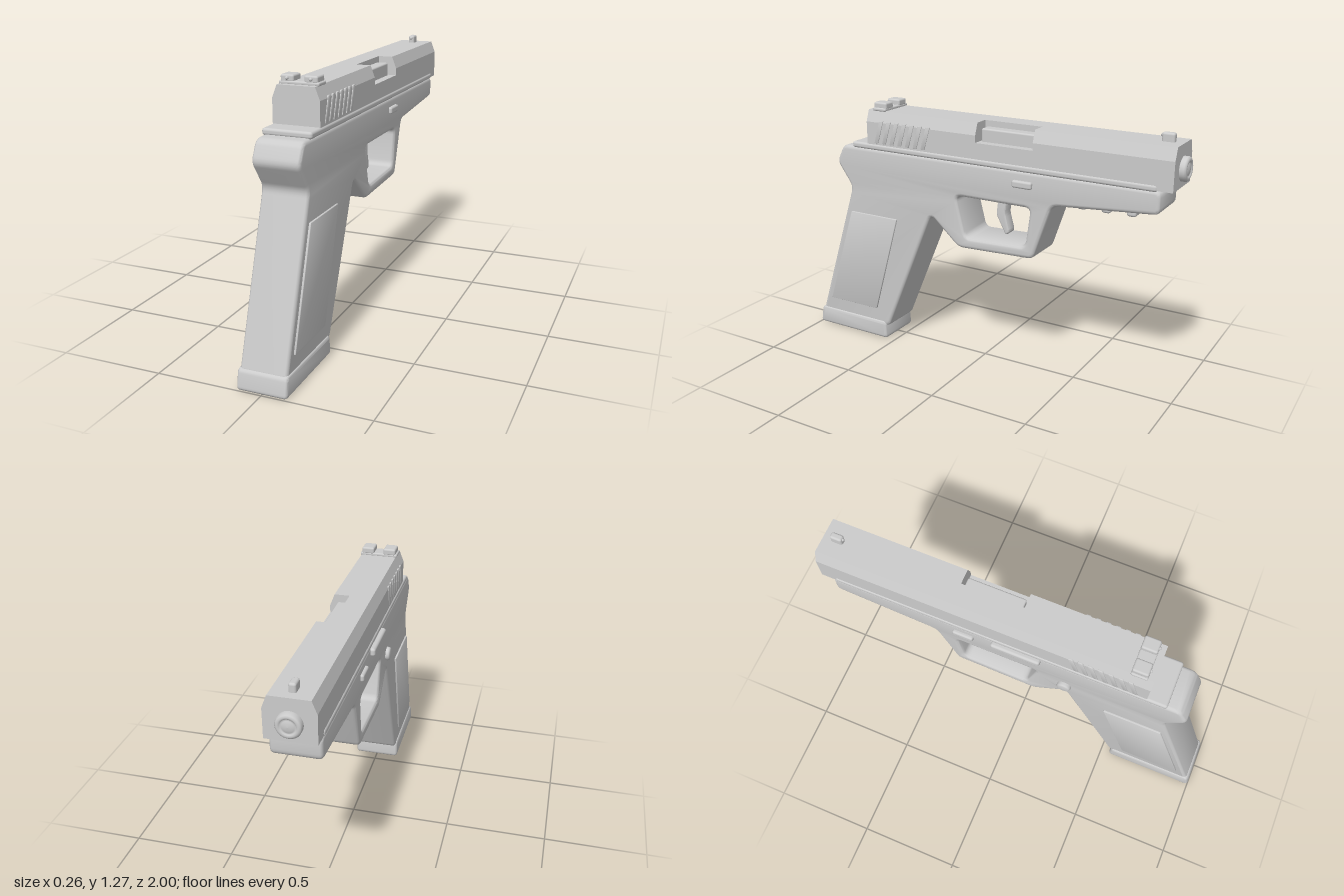
import * as THREE from 'three';
import { toCreasedNormals } from 'three/addons/utils/BufferGeometryUtils.js';
import { RoundedBoxGeometry } from 'three/addons/geometries/RoundedBoxGeometry.js';

// Closed path through the points with softened corners
function softPath(path, pts, r) {
  const n = pts.length;
  pts.forEach((p, i) => {
    const c = new THREE.Vector2(...p);
    const a = new THREE.Vector2(...pts[(i + n - 1) % n]).sub(c);
    const b = new THREE.Vector2(...pts[(i + 1) % n]).sub(c);
    const s = a.setLength(Math.min(r, a.length() * 0.45)).add(c);
    const e = b.setLength(Math.min(r, b.length() * 0.45)).add(c);
    if (i === 0) path.moveTo(s.x, s.y); else path.lineTo(s.x, s.y);
    if (r > 0) path.quadraticCurveTo(c.x, c.y, e.x, e.y);
  });
  path.closePath();
  return path;
}

// Side outline given as [z, y], extruded across the width from x0 to x1
function sideExtrude(pts, x0, x1, r, bevel, hole) {
  const flip = (list) => list.map(([z, y]) => [-z, y]);
  const shape = softPath(new THREE.Shape(), flip(pts), r);
  if (hole) shape.holes.push(softPath(new THREE.Path(), flip(hole), r));
  const g = new THREE.ExtrudeGeometry(shape, {
    depth: x1 - x0 - 2 * bevel, curveSegments: 5, bevelEnabled: bevel > 0,
    bevelThickness: bevel, bevelSize: bevel, bevelOffset: -bevel, bevelSegments: 4,
  });
  g.rotateY(Math.PI / 2).translate(x0 + bevel, 0, 0);
  return toCreasedNormals(g, 0.6);
}

// Cross-section given as [x, y], extruded along the length from z0 to z1
function lengthExtrude(pts, z0, z1) {
  const shape = softPath(new THREE.Shape(), pts, 0);
  return new THREE.ExtrudeGeometry(shape, { depth: z1 - z0, bevelEnabled: false }).translate(0, 0, z0);
}

// Rounded block between two corners
function block(x0, x1, y0, y1, z0, z1, r) {
  return new RoundedBoxGeometry(x1 - x0, y1 - y0, z1 - z0, 3, r)
    .translate((x0 + x1) / 2, (y0 + y1) / 2, (z0 + z1) / 2);
}

export function createModel() {
  const model = new THREE.Group();
  const grey = new THREE.MeshStandardMaterial({ color: 0xcccccc });
  grey.name = 'light grey';
  const add = (name, geometry) => {
    const mesh = new THREE.Mesh(geometry, grey);
    mesh.name = name;
    model.add(mesh);
    return mesh;
  };

  // Frame with grip and open trigger guard
  add('frame', sideExtrude([
    [0.78, 1.038], [0.828, 0.945], [0.738, 0.82], [0.985, 0.07], [0.535, 0.07], [0.25, 0.742],
    [0.094, 0.603], [-0.318, 0.618], [-0.41, 0.893], [-0.918, 0.932], [-0.918, 1.038],
  ], -0.11, 0.11, 0.03, 0.018, [
    [0.102, 0.865], [0.05, 0.662], [-0.275, 0.674], [-0.3, 0.865],
  ]));
  add('basePlate', sideExtrude([
    [0.985, 0.098], [1.002, 0], [0.543, 0], [0.55, 0.098],
  ], -0.118, 0.118, 0.022, 0.016));
  add('trigger', sideExtrude([
    [-0.09, 0.88], [-0.137, 0.88], [-0.127, 0.79], [-0.152, 0.7], [-0.13, 0.682], [-0.077, 0.78],
  ], -0.03, 0.03, 0.015, 0.008));
  add('rail', block(-0.115, 0.115, 1.033, 1.064, -0.9, 0.715, 0.012));

  // Slide in three lengths, the middle one cut away on one side
  const full = [[-0.11, 1.04], [0.11, 1.04], [0.11, 1.175], [0.088, 1.232], [-0.088, 1.232], [-0.11, 1.175]];
  const cut = [[-0.11, 1.04], [0.11, 1.04], [0.11, 1.14], [0.017, 1.14], [0.017, 1.232], [-0.088, 1.232], [-0.11, 1.175]];
  add('slideRear', lengthExtrude(full, -0.01, 0.62));
  add('slidePort', lengthExtrude(cut, -0.31, -0.01));
  add('slideFront', lengthExtrude(full, -0.97, -0.31));
  add('chamberBlock', block(0.01, 0.07, 1.13, 1.203, -0.3, -0.02, 0.008));

  // Muzzle disc with a shallow ring
  const muzzle = [[0.055, 0], [0.055, 0.02], [0.05, 0.027], [0.042, 0.03], [0.034, 0.028], [0.032, 0.023],
    [0.026, 0.026], [0.014, 0.029], [0, 0.03]].map(([x, y]) => new THREE.Vector2(x, y));
  const muzzleGeometry = new THREE.LatheGeometry(muzzle, 32).rotateX(-Math.PI / 2).translate(0, 1.122, -0.97);
  add('muzzle', muzzleGeometry);

  // Slanted grip bars and grip panels on both sides
  for (const side of [-1, 1]) {
    const span = (a, b) => (side > 0 ? [a, b] : [-b, -a]);
    for (let i = 0; i < 7; i++) {
      const z = 0.575 - i * 0.046;
      add('slideGripBar', sideExtrude([
        [z, 1.07], [z - 0.022, 1.07], [z - 0.057, 1.185], [z - 0.033, 1.185],
      ], ...span(0.1, 0.1135), 0.005, 0.002));
    }
    add('gripPanel', sideExtrude([
      [0.742, 0.688], [0.91, 0.165], [0.605, 0.165], [0.453, 0.688],
    ], ...span(0.1, 0.119), 0.004, 0.003));
    add('framePin', block(...span(0.1, 0.126), 0.958, 0.993, -0.312, -0.21, 0.01));
  }

  // Controls on one side only
  add('slideLever', block(-0.132, -0.1, 0.988, 1.028, -0.12, 0.12, 0.012));
  const button = new THREE.LatheGeometry(
    [[0.034, 0], [0.034, 0.02], [0.031, 0.027], [0.024, 0.031], [0, 0.032]].map(([x, y]) => new THREE.Vector2(x, y)), 24);
  add('sideButton', button.rotateZ(Math.PI / 2).translate(-0.1, 0.825, 0.243));

  // Cross ridges under the front of the frame
  for (const [z, y] of [[-0.54, 0.906], [-0.658, 0.908], [-0.778, 0.91]]) {
    add('underRidge', block(-0.075, 0.075, y - 0.016, y + 0.016, z - 0.022, z + 0.022, 0.012));
  }

  // Sights with small round dots facing the rear
  const dot = (x, y, z) => add('sightDot', new THREE.SphereGeometry(0.008, 12, 8).translate(x, y, z));
  add('rearSightBase', block(-0.094, 0.094, 1.228, 1.245, 0.515, 0.592, 0.007));
  for (const side of [-1, 1]) {
    add('rearSightPost', block(side * 0.055 - 0.031, side * 0.055 + 0.031, 1.238, 1.271, 0.515, 0.59, 0.009));
    dot(side * 0.055, 1.256, 0.59);
  }
  add('frontSight', block(-0.016, 0.016, 1.222, 1.271, -0.93, -0.872, 0.01));
  dot(0, 1.257, -0.872);

  return model;
}
